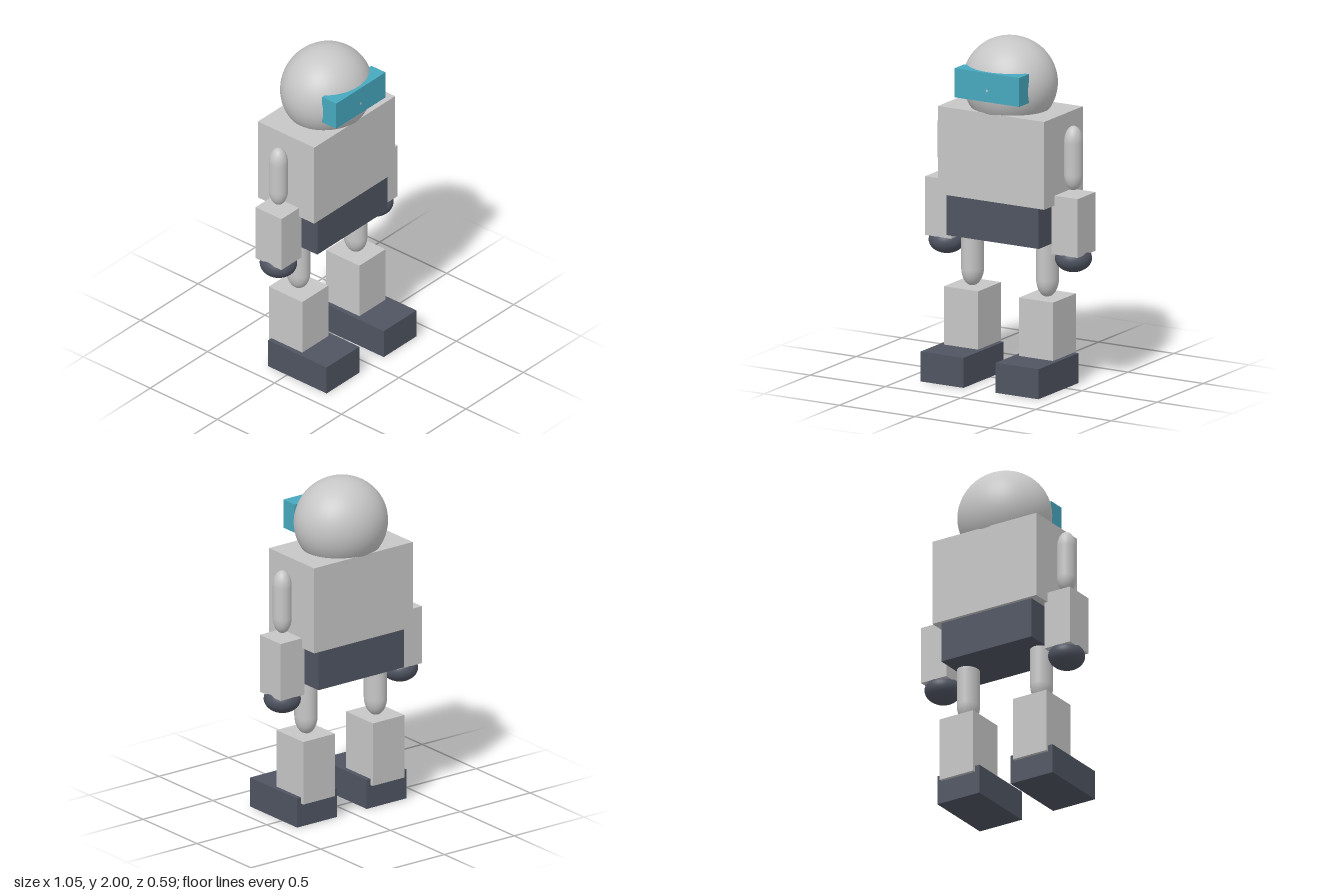
import * as THREE from 'three';

const makeMaterial = (name, color) => {
  const material = new THREE.MeshStandardMaterial({ color });
  material.name = name;
  return material;
};

export function createModel() {
  const robot = new THREE.Group();
  robot.name = 'robot';

  const grey = makeMaterial('light grey', 0xc6c6c6);
  const slate = makeMaterial('dark slate', 0x4f5461);
  const teal = makeMaterial('visor teal', 0x47a8be);

  const add = (name, geometry, material, position) => {
    const mesh = new THREE.Mesh(geometry, material);
    mesh.name = name;
    mesh.position.set(...position);
    robot.add(mesh);
    return mesh;
  };
  const box = (name, material, size, position) =>
    add(name, new THREE.BoxGeometry(...size), material, position);
  // Ellipsoid given by its three radii
  const ball = (name, material, radii, position) =>
    add(name, new THREE.SphereGeometry(1, 48, 32).scale(...radii), material, position);
  // Stretched capsule: each cap takes a quarter of the height
  const limb = (name, rx, height, rz, position) =>
    add(name, new THREE.CapsuleGeometry(0.5, 1, 12, 32).scale(rx * 2, height / 2, rz * 2), grey, position);

  // Head and body
  ball('head', grey, [0.275, 0.265, 0.256], [0, 1.735, -0.04]);
  box('visor', teal, [0.43, 0.17, 0.105], [0, 1.754, 0.163]);
  box('torso', grey, [0.706, 0.514, 0.42], [0, 1.333, -0.04]);
  box('pelvis', slate, [0.613, 0.26, 0.383], [0, 0.967, -0.038]);

  // Arms and legs, mirrored
  for (const [side, s] of [['left', 1], ['right', -1]]) {
    limb(side + 'UpperArm', 0.053, 0.376, 0.056, [s * 0.42, 1.343, -0.04]);
    box(side + 'Forearm', grey, [0.173, 0.344, 0.193], [s * 0.42, 0.962, -0.04]);
    ball(side + 'Hand', slate, [0.104, 0.078, 0.108], [s * 0.42, 0.757, -0.04]);
    limb(side + 'Thigh', 0.062, 0.42, 0.073, [s * 0.249, 0.72, -0.038]);
    box(side + 'Shin', grey, [0.227, 0.378, 0.25], [s * 0.249, 0.327, -0.036]);
    box(side + 'Foot', slate, [0.285, 0.175, 0.437], [s * 0.249, 0.0875, 0.077]);
  }
  return robot;
}
